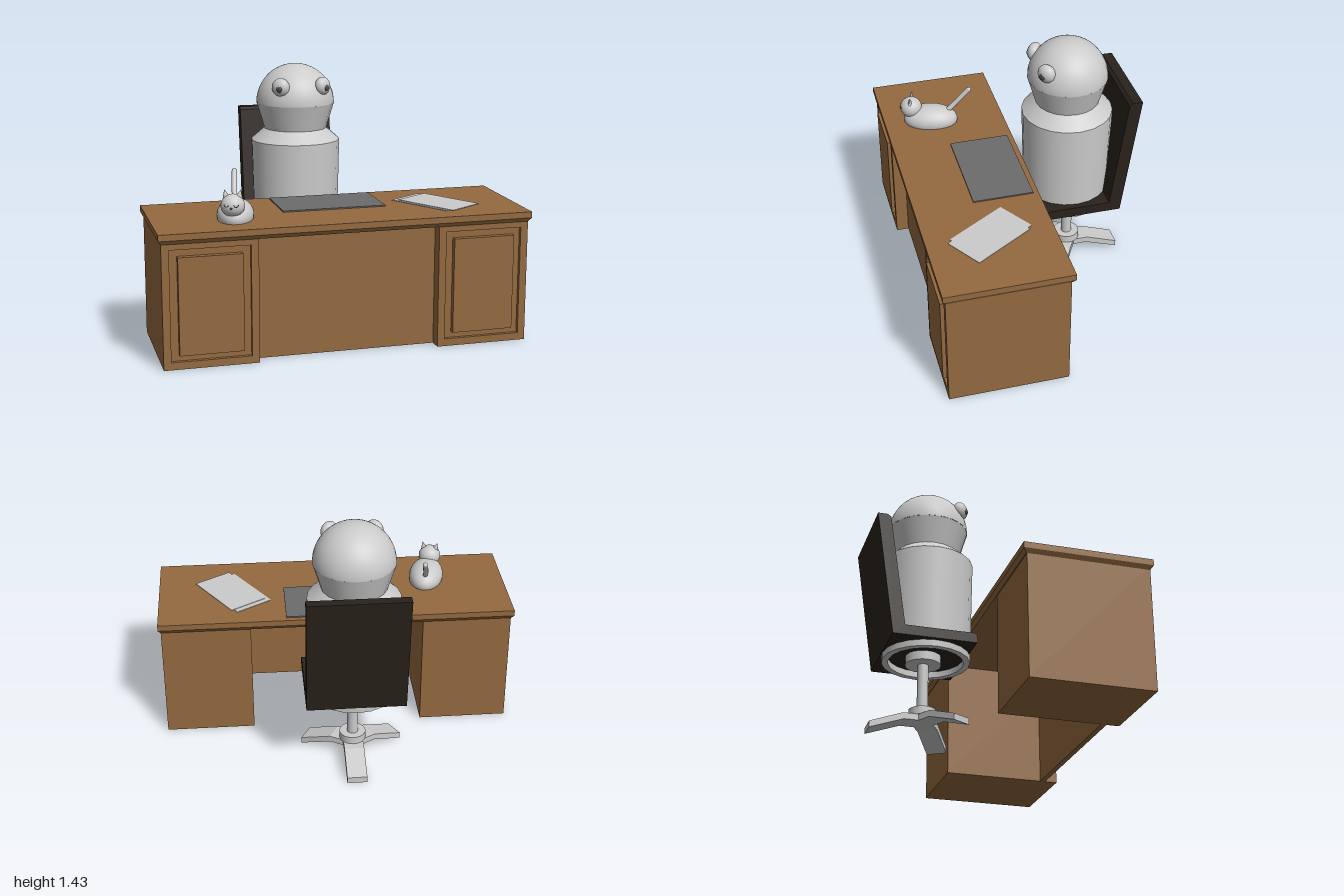
import * as THREE from 'three';

const mat = (color) => new THREE.MeshStandardMaterial({ color, side: THREE.DoubleSide });
const GREY = mat(0xcccccc), WOOD = mat(0x946a40), LEATHER = mat(0x2a221b);
const BLOTTER = mat(0x6c6c6c), DARK = mat(0x4a4a4a);

function add(parent, name, geometry, material, x = 0, y = 0, z = 0) {
  const mesh = new THREE.Mesh(geometry, material);
  mesh.name = name;
  mesh.position.set(x, y, z);
  parent.add(mesh);
  return mesh;
}

function group(parent, name, x = 0, y = 0, z = 0) {
  const g = new THREE.Group();
  g.name = name;
  g.position.set(x, y, z);
  parent.add(g);
  return g;
}

// Box given by its low and high corners
function block(parent, name, material, [x0, y0, z0], [x1, y1, z1]) {
  return add(parent, name, new THREE.BoxGeometry(x1 - x0, y1 - y0, z1 - z0), material,
    (x0 + x1) / 2, (y0 + y1) / 2, (z0 + z1) / 2);
}

const rect = (C, x0, y0, x1, y1) => new C([[x0, y0], [x1, y0], [x1, y1], [x0, y1]].map((p) => new THREE.Vector2(...p)));

// Side profile of [z, y] points, extruded across x and centred
function sideExtrude(points, width) {
  const shape = new THREE.Shape(points.map(([z, y]) => new THREE.Vector2(-z, y)));
  const geo = new THREE.ExtrudeGeometry(shape, { depth: width, bevelEnabled: false });
  return geo.translate(0, 0, -width / 2).rotateY(Math.PI / 2);
}

function buildDesk(root) {
  const desk = group(root, 'desk');
  block(desk, 'deskTop', WOOD, [-1, 0.682, -0.045], [1, 0.715, 0.645]);
  // Moulding that narrows towards the cabinets
  const lip = new THREE.BoxGeometry(2, 0.022, 0.69);
  const p = lip.attributes.position;
  for (let i = 0; i < p.count; i++) {
    if (p.getY(i) < 0) p.setXYZ(i, p.getX(i) * 0.985, p.getY(i), p.getZ(i) * 0.955);
  }
  lip.computeVertexNormals();
  add(desk, 'deskTopMoulding', lip, WOOD, 0, 0.671, 0.3);
  block(desk, 'modestyPanel', WOOD, [-0.485, 0, 0.53], [0.485, 0.66, 0.56]);

  for (const s of [-1, 1]) {
    const cabinet = group(desk, s < 0 ? 'rightCabinet' : 'leftCabinet', s * 0.735);
    block(cabinet, 'cabinetBody', WOOD, [-0.25, 0, -0.025], [0.25, 0.66, 0.61]);
    // Front frame around a sunken field, with a raised panel in it
    const frame = rect(THREE.Shape, -0.25, 0, 0.25, 0.66);
    frame.holes.push(rect(THREE.Path, -0.21, 0.04, 0.21, 0.63));
    add(cabinet, 'doorFrame', new THREE.ExtrudeGeometry(frame, { depth: 0.02, bevelEnabled: false }), WOOD, 0, 0, 0.61);
    block(cabinet, 'doorPanel', WOOD, [-0.168, 0.075, 0.6], [0.168, 0.592, 0.642]);
  }
}

function buildDeskItems(root) {
  block(root, 'blotter', BLOTTER, [-0.285, 0.714, -0.015], [0.285, 0.722, 0.32]);
  [[0.56, 0.29], [0.592, 0.307]].forEach(([x, z], i) => {
    const sheet = add(root, 'paperSheet', new THREE.BoxGeometry(0.228, 0.003, 0.38), GREY, x, 0.7165 + i * 0.003, z);
    sheet.rotation.y = 0.56;
  });
}

function buildChair(root) {
  const chair = group(root, 'chair', -0.06, 0, -0.315);
  // Seat and leaning backrest in one side profile
  add(chair, 'seatAndBackrest', sideExtrude([
    [0.23, 0.455], [0.225, 0.45], [-0.23, 0.45], [-0.33, 1.15], [-0.275, 1.15], [-0.257, 1.135],
    [-0.165, 0.505], [0.215, 0.505], [0.228, 0.49],
  ], 0.54), LEATHER);
  add(chair, 'seatMount', new THREE.CylinderGeometry(0.097, 0.097, 0.05, 24), GREY, 0, 0.426, 0);
  add(chair, 'post', new THREE.CylinderGeometry(0.03, 0.03, 0.32, 20), GREY, 0, 0.26, 0);
  add(chair, 'baseCollar', new THREE.CylinderGeometry(0.073, 0.073, 0.045, 24), GREY, 0, 0.12, 0);
  // Three bent legs, one pointing straight back
  const leg = sideExtrude([[0, 0.065], [0.11, 0.065], [0.295, 0], [0.295, 0.035], [0.115, 0.1], [0, 0.1]], 0.11);
  for (let i = 0; i < 3; i++) {
    add(chair, 'baseLeg', leg, GREY).rotation.y = Math.PI + i * Math.PI * 2 / 3;
  }
}

function buildFigure(root) {
  const figure = group(root, 'seatedFigure', -0.065, 0, -0.302);
  // Each band is its own lathe, so the edges between bands stay sharp
  const profile = [[0.205, 0.455], [0.205, 0.415], [0.24, 0.415], [0.253, 1.0], [0.178, 1.065], [0.222, 1.21]];
  const names = ['hemInside', 'hem', 'torso', 'shoulders', 'neck'];
  names.forEach((name, i) => {
    const band = [profile[i], profile[i + 1]].map((q) => new THREE.Vector2(...q));
    add(figure, name, new THREE.LatheGeometry(band, 20), GREY);
  });
  add(figure, 'head', new THREE.SphereGeometry(0.222, 32, 16, 0, Math.PI * 2, 0, Math.PI / 2), GREY, 0, 1.21, 0);

  // Bulging eyes turned outwards
  for (const s of [-1, 1]) {
    const eye = group(figure, s < 0 ? 'rightEye' : 'leftEye', s * 0.12, 1.317, 0.155);
    eye.rotation.y = s * 0.7;
    add(eye, 'eyeball', new THREE.SphereGeometry(0.052, 20, 14), GREY).scale.z = 0.75;
    add(eye, 'pupil', new THREE.SphereGeometry(0.018, 14, 10), DARK, -s * 0.006, -0.007, 0.034).scale.z = 0.5;
  }
}

function buildCat(root) {
  const cat = group(root, 'cat', -0.555, 0.715, 0.378);
  const body = add(cat, 'catBody', new THREE.SphereGeometry(1, 28, 18), GREY, 0, 0.02, 0);
  body.scale.set(0.098, 0.083, 0.157);
  body.rotation.y = -0.25;

  const head = group(cat, 'catHead', -0.034, 0.093, 0.107);
  head.rotation.y = -0.33;
  add(head, 'skull', new THREE.SphereGeometry(0.063, 24, 16), GREY).scale.y = 0.95;
  add(head, 'nose', new THREE.SphereGeometry(0.006, 8, 6), DARK, 0, -0.004, 0.062);
  for (const s of [-1, 1]) {
    const ear = add(head, 'ear', new THREE.ConeGeometry(0.022, 0.05, 12), GREY, s * 0.037, 0.06, 0);
    ear.scale.z = 0.6;
    ear.rotation.z = -s * 0.25;
    // Closed eyelid line
    const lid = add(head, 'closedEye', new THREE.TorusGeometry(0.012, 0.002, 6, 10, Math.PI), DARK, s * 0.026, 0.014, 0.056);
    lid.rotation.set(0, s * 0.42, Math.PI);
  }

  // Raised tail with a rounded tip
  const tail = new THREE.CatmullRomCurve3([[0.02, 0.065, -0.09], [0.023, 0.105, -0.135],
    [0.032, 0.16, -0.182], [0.041, 0.205, -0.222]].map((q) => new THREE.Vector3(...q)));
  add(cat, 'tail', new THREE.TubeGeometry(tail, 14, 0.0145, 12), GREY);
  add(cat, 'tailTip', new THREE.SphereGeometry(0.0145, 12, 8), GREY, 0.041, 0.205, -0.222);
}

export function createModel() {
  const root = new THREE.Group();
  root.name = 'deskScene';
  buildDesk(root);
  buildDeskItems(root);
  buildChair(root);
  buildFigure(root);
  buildCat(root);
  return root;
}
